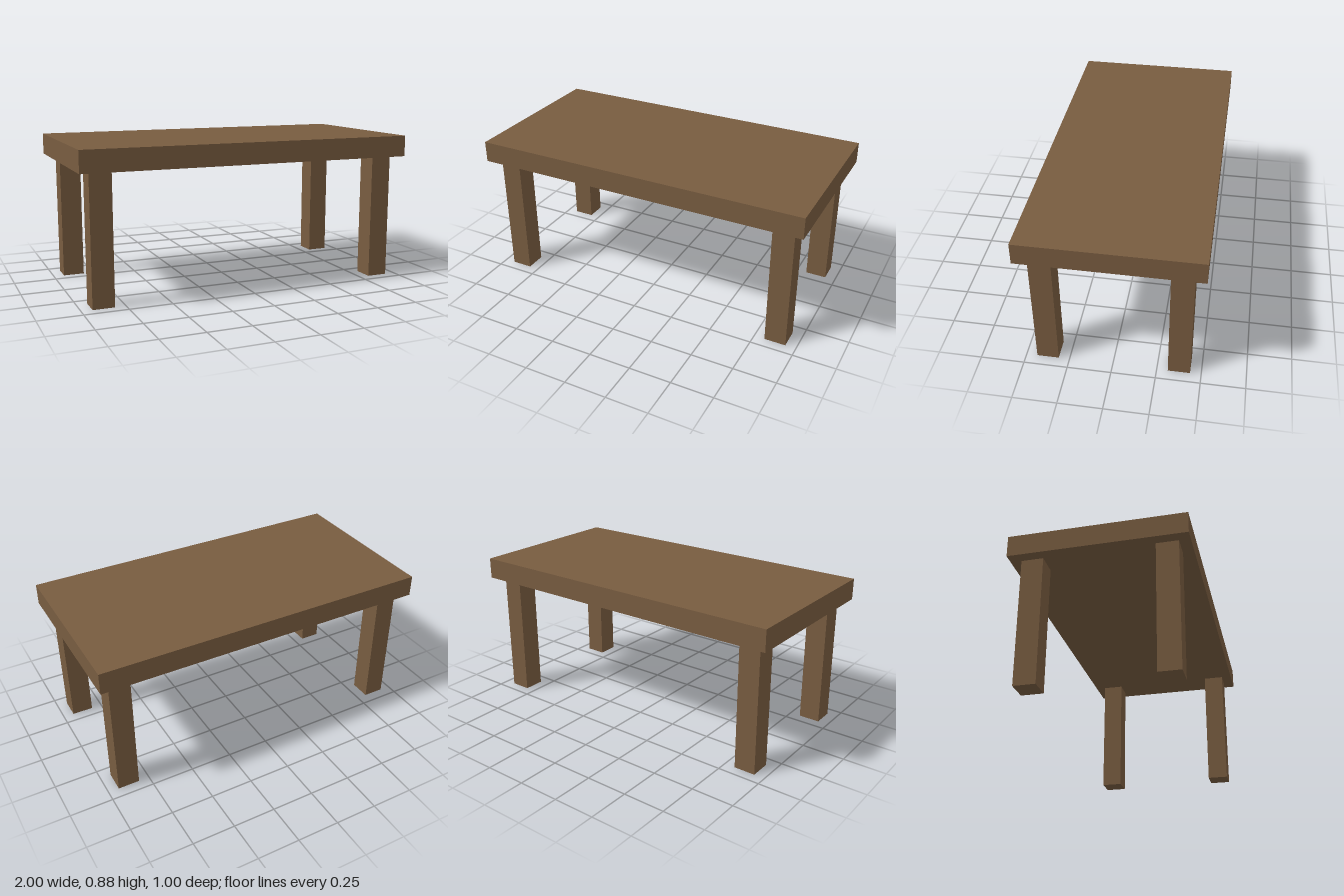
import * as THREE from 'three';

const LEG = 0.125, LEG_HEIGHT = 0.75, TOP_THICKNESS = 0.125;

export function createModel() {
  const model = new THREE.Group();
  model.name = 'table';
  const wood = new THREE.MeshStandardMaterial({ color: 0x785c40 });
  wood.name = 'brown wood';

  // Adds a box standing on the height y
  function addBox(name, width, height, depth, x, y, z) {
    const mesh = new THREE.Mesh(new THREE.BoxGeometry(width, height, depth), wood);
    mesh.name = name;
    mesh.position.set(x, y + height / 2, z);
    model.add(mesh);
  }

  // Slab top
  addBox('tableTop', 2, TOP_THICKNESS, 1, 0, LEG_HEIGHT, 0);

  // Four square legs, inset from the corners
  for (const [sideX, nameX] of [[1, 'Left'], [-1, 'Right']]) {
    for (const [sideZ, nameZ] of [[1, 'front'], [-1, 'back']]) {
      addBox(nameZ + nameX + 'Leg', LEG, LEG_HEIGHT, LEG, sideX * 0.875, 0, sideZ * 0.375);
    }
  }
  return model;
}
